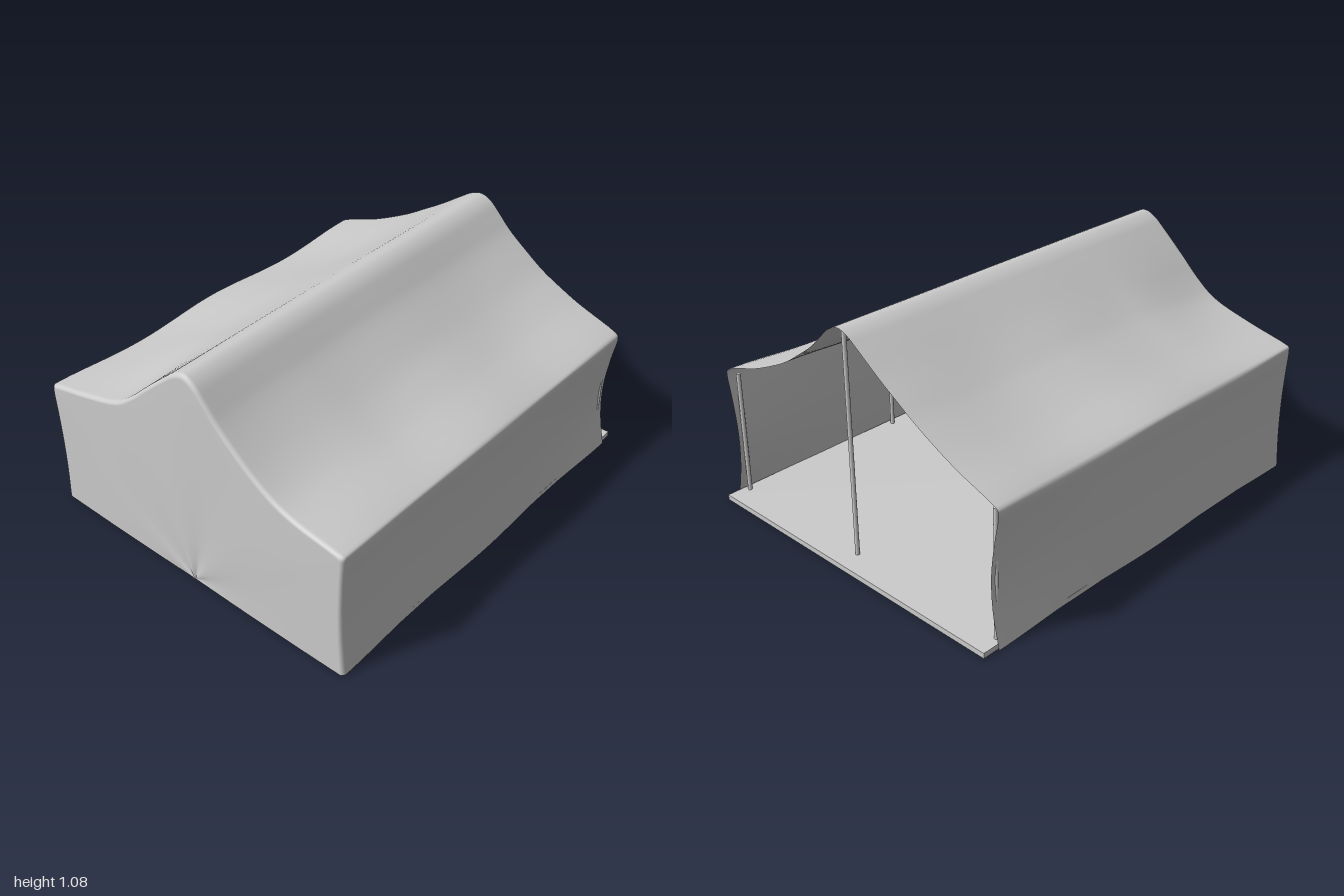
import * as THREE from 'three';

const BACK = -0.93, FRONT = 0.985, HEM = 0.01;
const smooth = (t) => t * t * (3 - 2 * t);

// Roof slopes from eave to ridge: [x, height at open end, height at closed end]
const ROOF = [
  [-0.81, 0.645, 0.64], [-0.6, 0.725, 0.69], [-0.4, 0.825, 0.752], [-0.3, 0.887, 0.822],
  [-0.2, 0.95, 0.915], [-0.08, 1.034, 1.022], [-0.025, 1.07, 1.066], [0.03, 1.086, 1.086],
  [0.085, 1.066, 1.06], [0.14, 1.015, 1.0], [0.2, 0.955, 0.93], [0.3, 0.88, 0.838],
  [0.4, 0.812, 0.762], [0.5, 0.762, 0.706], [0.6, 0.718, 0.675], [0.81, 0.645, 0.64],
];

// How slack the roof cloth is along the length
const SLACK = [[BACK, 0], [-0.45, 0.32], [-0.03, 0.12], [0.45, 0.38], [FRONT, 1]];
function slack(z) {
  for (let i = 1; i < SLACK.length; i++) {
    const [z0, a] = SLACK[i - 1], [z1, b] = SLACK[i];
    if (z <= z1) return a + (b - a) * smooth((z - z0) / (z1 - z0));
  }
  return 1;
}

// Cross-section of walls and roof at a given z
function section(z) {
  const w = slack(z);
  const between = Math.sin(Math.PI * (z - BACK) / 0.957) ** 2; // 0 at pole rows
  const bow = 0.012 + 0.028 * Math.max(0, 1 - (z - BACK) / 0.6);
  const wall = (s) => {
    const x = s * (0.828 - 0.012 * between);
    const dip = (s < 0 ? 0.022 : 0.015) * between;
    return [[x, HEM], [x - s * bow * 0.8, 0.17], [x - s * bow, 0.33], [x - s * bow * 0.5, 0.5],
      [x, 0.61 - dip], [x - s * 0.003, 0.632 - dip]];
  };
  const roof = ROOF.map(([x, a, b]) => {
    const edge = Math.max(0, (Math.abs(x) - 0.4) / 0.43);
    return [x * (1 - 0.012 * between * edge), a + (b - a) * w - 0.018 * between * edge];
  });
  const pts = [...wall(-1), ...roof, ...wall(1).reverse()];
  return new THREE.CatmullRomCurve3(pts.map(([x, y]) => new THREE.Vector3(x, y, z)), false, 'centripetal').getPoints(108);
}

// One cloth skin: side walls and roof, rounded rim, then the closed end wall
function clothGeometry() {
  const rings = [];
  for (let i = 0; i <= 48; i++) rings.push(section(BACK + (0.965 - BACK) * i / 48));
  const rim = section(0.965);
  const shrink = (t, z) => rings.push(rim.map((p) => new THREE.Vector3(
    p.x * (1 - t), HEM + (p.y - HEM) * (1 - t), z + 0.005 * t * Math.sin(p.x * 7) * Math.sin(p.y * 5))));
  for (let k = 1; k <= 6; k++) {
    const a = k / 6 * Math.PI / 2;
    shrink(0.022 * (1 - Math.cos(a)), 0.965 + 0.022 * Math.sin(a));
  }
  for (let k = 1; k <= 10; k++) shrink(0.022 + 0.978 * k / 10, 0.987 + 0.003 * Math.sin(Math.PI * k / 10));

  const n = rim.length, position = [], index = [];
  for (const ring of rings) for (const p of ring) position.push(p.x, p.y, p.z);
  for (let r = 0; r < rings.length - 1; r++) {
    for (let i = 0; i < n - 1; i++) {
      const a = r * n + i, b = a + 1, c = a + n, d = c + 1;
      index.push(a, c, b, b, c, d);
    }
  }
  const g = new THREE.BufferGeometry();
  g.setAttribute('position', new THREE.Float32BufferAttribute(position, 3));
  g.setIndex(index);
  g.computeVertexNormals();
  return g;
}

export function createModel() {
  const group = new THREE.Group();
  group.name = 'tent';
  const grey = new THREE.MeshStandardMaterial({ color: 0xcccccc });
  const cloth = new THREE.MeshStandardMaterial({ color: 0xcccccc, side: THREE.DoubleSide });
  const add = (name, geometry, material, x = 0, y = 0, z = 0) => {
    const mesh = new THREE.Mesh(geometry, material);
    mesh.name = name;
    mesh.position.set(x, y, z);
    group.add(mesh);
  };

  add('canvas', clothGeometry(), cloth);

  // Ground board, projecting past the open end
  add('floor', new THREE.BoxGeometry(1.63, 0.025, 1.97), grey, 0, 0.0185, -0.015);

  // Three rows of poles: ridge pole and two eave poles each
  for (const z of [-0.9, -0.03, 0.88]) {
    for (const [name, x, top] of [['rightPole', -0.785, 0.62], ['ridgePole', 0.03, 1.075], ['leftPole', 0.785, 0.62]]) {
      const h = top - 0.03;
      add(name, new THREE.CylinderGeometry(0.01, 0.01, h, 12), grey, x, 0.03 + h / 2, z);
    }
  }
  return group;
}
